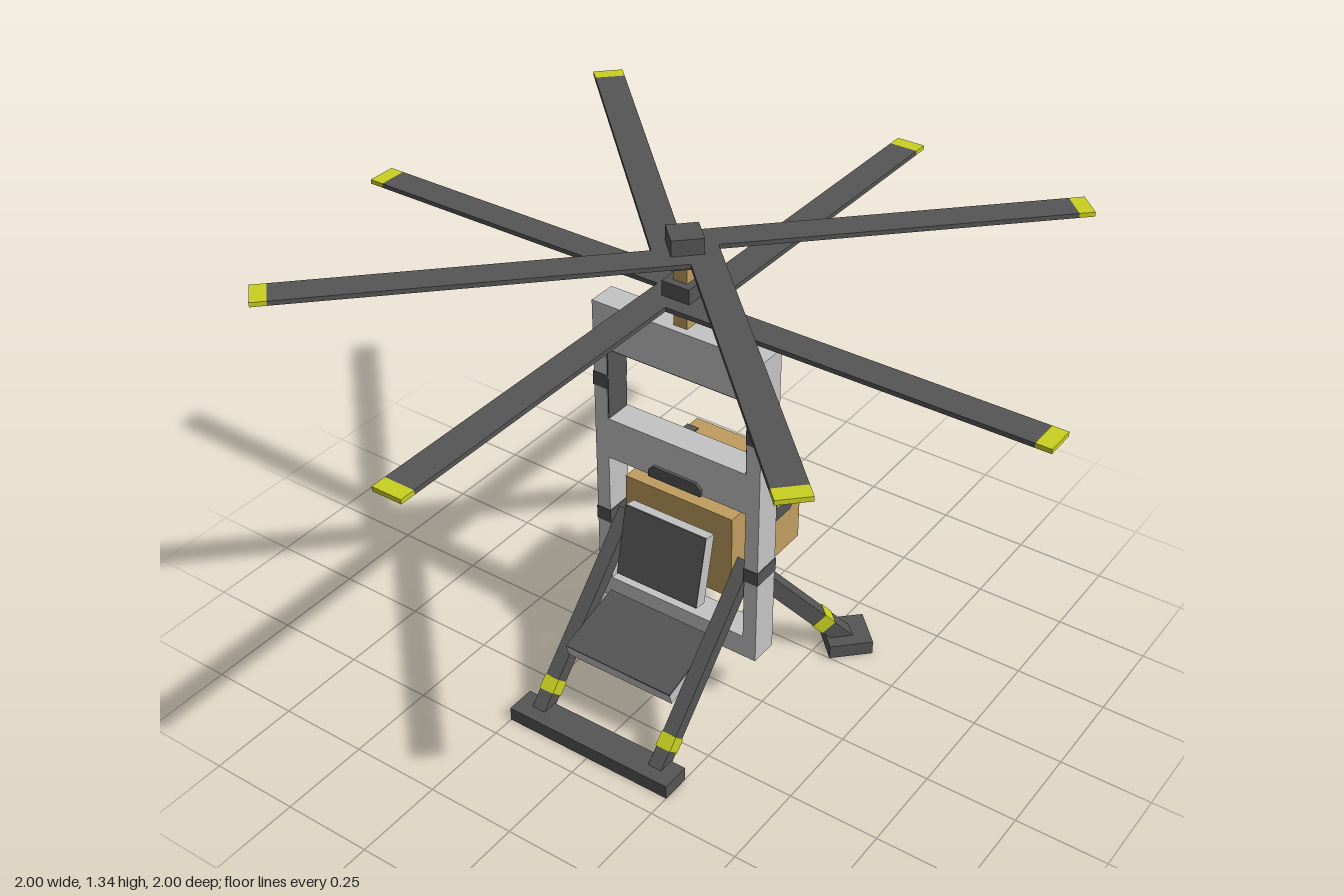
import * as THREE from 'three';

export function createModel() {
  const model = new THREE.Group();
  const colour = (name, hex, side = THREE.FrontSide) => {
    const m = new THREE.MeshStandardMaterial({ color: hex, side });
    m.name = name;
    return m;
  };
  const dark = colour('charcoal', 0x555555);
  const grey = colour('light grey', 0xc4c4c4);
  const tan = colour('tan', 0xc19d5f);
  const yellow = colour('yellow', 0xc9d020);

  const add = (name, geometry, material, x = 0, y = 0, z = 0, parent = model) => {
    const mesh = new THREE.Mesh(geometry, material);
    mesh.name = name;
    mesh.position.set(x, y, z);
    parent.add(mesh);
    return mesh;
  };
  // Box given by its minimum and maximum on each axis
  const box = (name, material, [x0, x1], [y0, y1], [z0, z1], parent = model) =>
    add(name, new THREE.BoxGeometry(x1 - x0, y1 - y0, z1 - z0), material,
      (x0 + x1) / 2, (y0 + y1) / 2, (z0 + z1) / 2, parent);

  // Square strut between two points, with a yellow band at fraction t
  const strut = (name, a, b, width, t, bandLength) => {
    const start = new THREE.Vector3(...a), end = new THREE.Vector3(...b);
    const group = new THREE.Group();
    group.name = name;
    group.position.copy(start);
    group.lookAt(end);
    const length = start.distanceTo(end), h = width / 2, k = h + 0.002;
    box(name + 'Bar', dark, [-h, h], [-h, h], [0, length], group);
    box(name + 'Band', yellow, [-k, k], [-k, k],
      [t * length - bandLength / 2, t * length + bandLength / 2], group);
    model.add(group);
  };

  // Upright frame: two posts and three cross beams
  for (const s of [-1, 1]) {
    add('framePost', new THREE.BoxGeometry(0.04, 0.915, 0.08), grey, s * 0.23, 0.6275, 0);
    for (const y of [0.44, 0.86])
      add('postBand', new THREE.BoxGeometry(0.044, 0.04, 0.084), dark, s * 0.23, y, 0);
    add('windowLining', new THREE.BoxGeometry(0.004, 0.21, 0.076), dark, s * 0.209, 0.855, 0);
  }
  box('topBeam', grey, [-0.21, 0.21], [0.96, 1.085], [-0.04, 0.04]);
  box('middleBeam', grey, [-0.21, 0.21], [0.63, 0.75], [-0.04, 0.04]);
  box('bottomBeam', grey, [-0.21, 0.21], [0.17, 0.235], [-0.04, 0.04]);
  box('topBeamLining', dark, [-0.21, 0.21], [0.956, 0.96], [-0.038, 0.038]);

  // Headrest plate with cut corners
  const headrest = new THREE.Shape([[-0.08, 0.63], [0.08, 0.63], [0.08, 0.65], [0.065, 0.665],
    [-0.065, 0.665], [-0.08, 0.65]].map(p => new THREE.Vector2(...p)));
  add('headrest', new THREE.ExtrudeGeometry(headrest, { depth: 0.008, bevelEnabled: false }), dark, 0, 0, 0.04);

  // Engine case with rear panel and side latches that fold over the top
  box('engineCase', tan, [-0.165, 0.165], [0.335, 0.585], [-0.29, 0.03]);
  box('rearPanel', dark, [-0.125, 0.125], [0.375, 0.54], [-0.335, -0.29]);
  const latch = new THREE.Shape([[-0.06, 0.585], [-0.06, 0.475], [-0.045, 0.46], [0.045, 0.46],
    [0.06, 0.475], [0.06, 0.585]].map(p => new THREE.Vector2(...p)));
  for (const s of [-1, 1]) {
    const plate = add('sideLatch', new THREE.ExtrudeGeometry(latch, { depth: 0.005, bevelEnabled: false }),
      dark, s * 0.165, 0, -0.19);
    plate.rotation.y = s * Math.PI / 2;
    add('latchTop', new THREE.BoxGeometry(0.035, 0.005, 0.12), dark, s * 0.15, 0.5865, -0.19);
  }
  box('latchButton', tan, [0.169, 0.173], [0.503, 0.547], [-0.21, -0.166]);

  // Seat and backrest: grey shells with dark pads
  const cushion = (name, width, length, y, z, tilt) => {
    const group = new THREE.Group();
    group.name = name;
    group.position.set(0, y, z);
    group.rotation.x = tilt;
    add(name + 'Shell', new THREE.BoxGeometry(width, length, 0.034), grey, 0, 0, 0, group);
    add(name + 'Pad', new THREE.BoxGeometry(width, length, 0.006), dark, 0, 0, 0.018, group);
    model.add(group);
  };
  cushion('backrest', 0.25, 0.2, 0.442, 0.088, -0.215);
  cushion('seat', 0.33, 0.205, 0.21, 0.198, -1.3);

  // Front legs on a shared foot bar, splayed rear legs on square feet
  box('frontFoot', dark, [-0.25, 0.25], [0, 0.04], [0.355, 0.437]);
  for (const s of [-1, 1]) {
    strut('frontLeg', [s * 0.187, 0.44, -0.01], [s * 0.187, 0.02, 0.39], 0.04, 0.86, 0.04);
    strut('rearLeg', [s * 0.07, 0.37, -0.09], [s * 0.305, 0.02, -0.335], 0.045, 0.79, 0.04);
    const foot = add('rearFoot', new THREE.BoxGeometry(0.12, 0.04, 0.12), dark, s * 0.305, 0.02, -0.335);
    foot.rotation.y = Math.PI / 4;
  }

  // Mast and two contra-rotating rotors of four offset blades
  box('mast', tan, [-0.02, 0.02], [1.085, 1.27], [-0.02, 0.02]);
  const rotor = (name, y, bladeY, turn, offset) => {
    const group = new THREE.Group();
    group.name = name;
    group.position.y = y;
    group.rotation.y = turn;
    add(name + 'Hub', new THREE.BoxGeometry(0.08, 0.08, 0.08), dark, 0, 0, 0, group);
    for (let i = 0; i < 4; i++) {
      const blade = new THREE.Group();
      blade.name = name + 'Blade';
      blade.rotation.y = i * Math.PI / 2;
      add('bladeBody', new THREE.BoxGeometry(0.96, 0.012, 0.08), dark, 0.48, bladeY, offset, blade);
      add('bladeTip', new THREE.BoxGeometry(0.04, 0.012, 0.08), yellow, 0.98, bladeY, offset, blade);
      group.add(blade);
    }
    model.add(group);
  };
  rotor('lowerRotor', 1.17, -0.006, 0, 0.04);
  rotor('upperRotor', 1.295, -0.008, Math.PI / 4, -0.04);

  return model;
}
